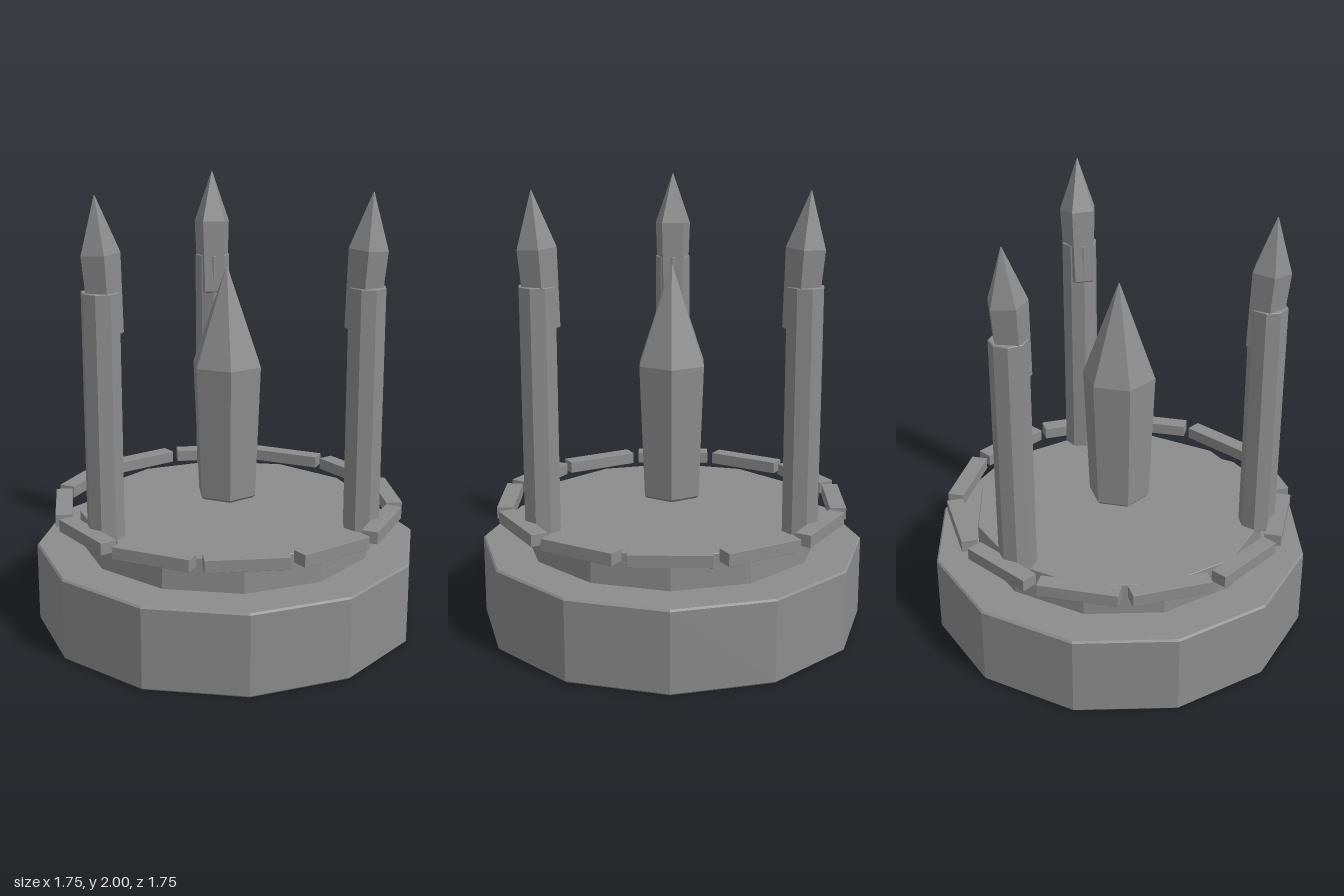
import * as THREE from 'three';
import { RoundedBoxGeometry } from 'three/addons/geometries/RoundedBoxGeometry.js';

const stone = new THREE.MeshStandardMaterial({ color: 0x8c8c8c, flatShading: true });
stone.name = 'grey stone';

// Faceted solid from a [radius, y] profile listed bottom to top; first corner on +x
function faceted(name, profile, sides) {
  const points = profile.map(([r, y]) => new THREE.Vector2(r, y));
  const mesh = new THREE.Mesh(new THREE.LatheGeometry(points, sides, Math.PI / 2), stone);
  mesh.name = name;
  return mesh;
}

// Prism with a small chamfer around both ends
function prism(name, radius, y0, y1, sides, bevel) {
  return faceted(name, [
    [0, y0], [radius - bevel, y0], [radius, y0 + bevel],
    [radius, y1 - bevel], [radius - bevel, y1], [0, y1],
  ], sides);
}

// Pointed crystal, widest between foot and tip
function crystal(name, radius, y0, yWide, yTip, sides, bevel) {
  const foot = radius * 0.85;
  return faceted(name, [
    [0, y0], [foot - bevel, y0], [foot, y0 + bevel],
    [radius, yWide], [bevel * 0.4, yTip - bevel * 0.6], [0, yTip],
  ], sides);
}

export function createModel() {
  const model = new THREE.Group();
  model.name = 'crystalShrine';

  // Stepped twelve-sided platform
  model.add(prism('base', 0.877, 0, 0.375, 12, 0.008));
  model.add(prism('upperStep', 0.676, 0.37, 0.525, 12, 0.003));

  // Ring of separate kerb blocks
  const ring = new THREE.Group();
  ring.name = 'kerbRing';
  const blockGeometry = new RoundedBoxGeometry(0.075, 0.056, 0.355, 1, 0.002);
  for (let i = 0; i < 12; i++) {
    const a = (i * Math.PI) / 6;
    const block = new THREE.Mesh(blockGeometry, stone);
    block.name = 'kerbBlock';
    block.position.set(0.747 * Math.cos(a), 0.547, -0.747 * Math.sin(a));
    block.rotation.y = a;
    ring.add(block);
  }
  model.add(ring);

  // Hovering central crystal
  model.add(crystal('centralCrystal', 0.166, 0.583, 1.2, 1.645, 6, 0.012));

  // Three pillars, each with a crystal leaning slightly outward
  for (let i = 0; i < 3; i++) {
    const pillar = new THREE.Group();
    pillar.name = 'pillar';
    const shaft = prism('pillarShaft', 0.083, 0.512, 1.6, 8, 0.003);
    shaft.position.x = 0.65;
    const tip = crystal('pillarCrystal', 0.088, -0.345, 0, 0.24, 5, 0.006);
    tip.position.set(0.65, 1.76, 0);
    tip.rotation.z = -0.07;
    pillar.add(shaft, tip);
    pillar.rotation.y = (i * Math.PI * 2) / 3;
    model.add(pillar);
  }
  return model;
}
